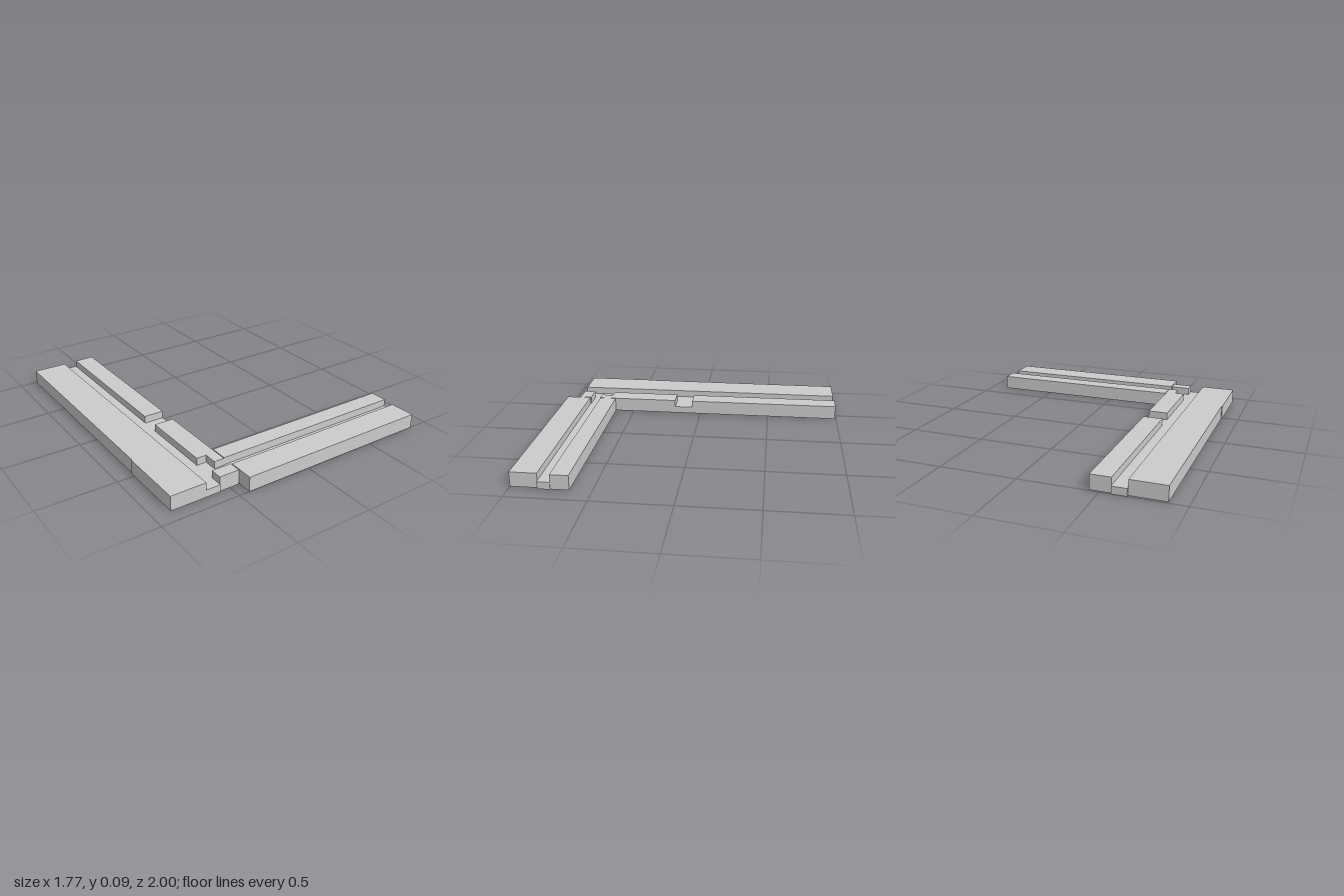
import * as THREE from 'three';

const TOP = 0.095, FLOOR = 0.047;

export function createModel() {
  const group = new THREE.Group();
  const material = new THREE.MeshStandardMaterial({ color: 0xcccccc, flatShading: true });

  // Raises a floor plan of [x, z] corners to a height.
  function slab(name, height, corners) {
    const shape = new THREE.Shape(corners.map(([x, z]) => new THREE.Vector2(x, -z)));
    const geometry = new THREE.ExtrudeGeometry(shape, { depth: height, bevelEnabled: false });
    geometry.rotateX(-Math.PI / 2);
    const mesh = new THREE.Mesh(geometry, material);
    mesh.name = name;
    group.add(mesh);
  }
  const rect = (x0, x1, z0, z1) => [[x0, z0], [x1, z0], [x1, z1], [x0, z1]];

  // Long arm: outer bank, and inner bank broken by a side outlet
  slab('longOuterBank', TOP, [[-0.885, -0.985], [-0.66, -0.985], [-0.66, 0.91], [-0.89, 0.91], [-0.89, 0.47], [-0.885, 0.47]]);
  slab('longInnerBankBack', TOP, rect(-0.567, -0.437, -0.99, 0.06));
  slab('longInnerBankMiddle', TOP, [[-0.567, 0.187], [-0.437, 0.187], [-0.437, 0.757], [-0.503, 0.757], [-0.503, 0.67], [-0.567, 0.67]]);
  slab('longInnerBankFront', TOP, rect(-0.567, -0.437, 0.825, 0.905));

  // Channel floors
  slab('longChannelFloor', FLOOR, rect(-0.66, -0.567, -1, 0.91));
  slab('sideOutletFloor', FLOOR, rect(-0.567, -0.437, 0.06, 0.187));
  slab('junctionFloor', FLOOR, [[-0.567, 0.67], [-0.503, 0.67], [-0.503, 0.757], [-0.432, 0.757], [-0.432, 0.825], [-0.567, 0.825]]);
  slab('shortChannelFloor', FLOOR, rect(-0.432, 0.885, 0.752, 0.83));

  // Short arm banks
  slab('shortBackBank', TOP, rect(-0.432, 0.88, 0.637, 0.752));
  slab('shortFrontBank', TOP, rect(-0.432, 0.87, 0.83, 1));

  return group;
}
